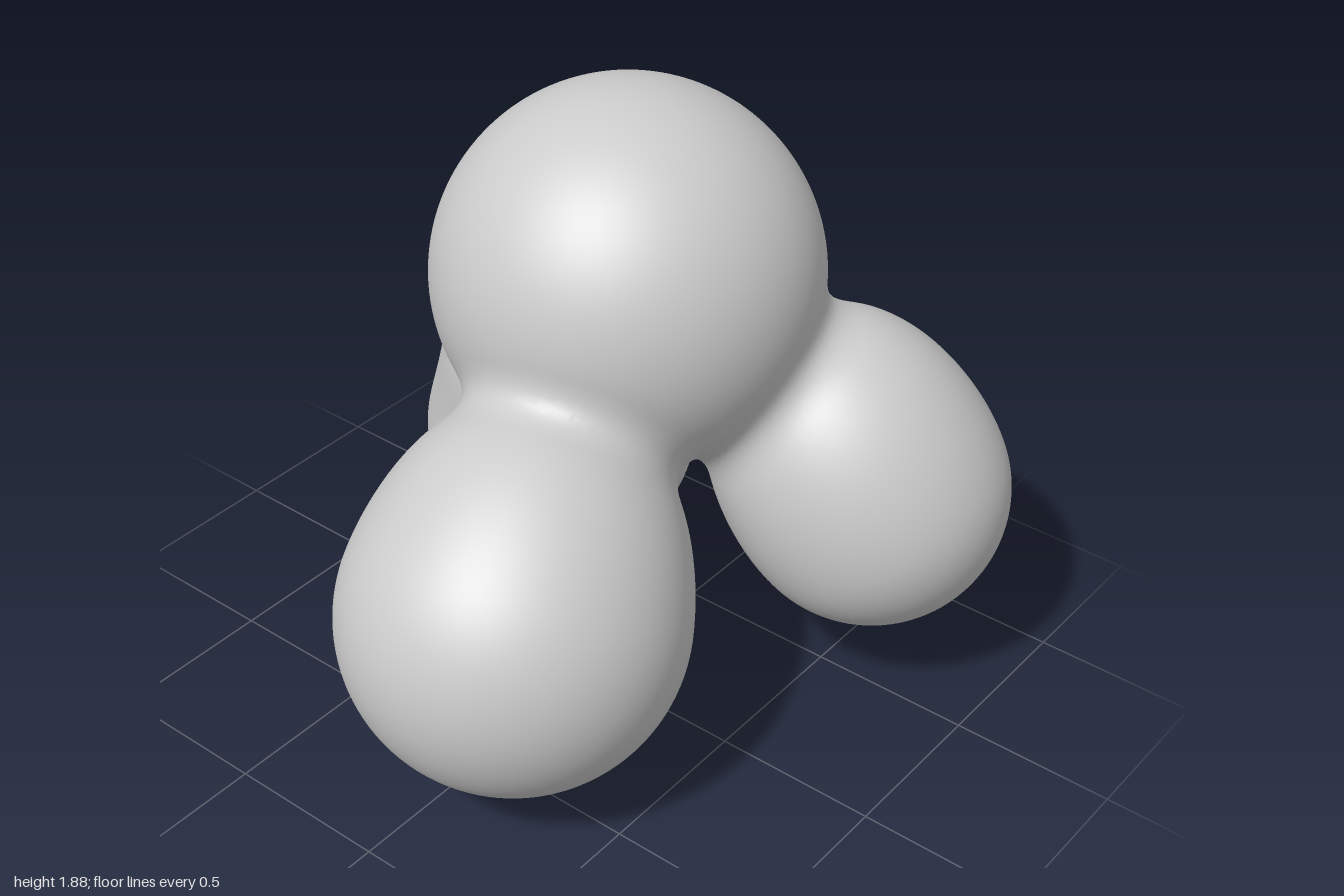
import * as THREE from 'three';

// Balls as [x, y, z, radius]
const core = [0.215, 1.315, -0.055, 0.565];
const lobes = [
  [[-0.5, 0.6, 0.12, 0.5], [-0.36, 0.78, 0.08, 0.405]],       // right lobe
  [[0.585, 0.645, 0.575, 0.412], [0.54, 0.82, 0.465, 0.38]],  // front left lobe
  [[0.505, 0.437, -0.55, 0.435], [0.455, 0.75, -0.45, 0.415]], // back left lobe
];

const ball = (x, y, z, b) => Math.hypot(x - b[0], y - b[1], z - b[2]) - b[3];

// Rounded union of two distances
function blend(a, b, k) {
  const h = Math.max(k - Math.abs(a - b), 0);
  return Math.min(a, b) - h * h / (4 * k);
}

function field(x, y, z) {
  let d = ball(x, y, z, core);
  for (const [foot, shoulder] of lobes) {
    const lobe = blend(ball(x, y, z, foot), ball(x, y, z, shoulder), 0.12);
    d = blend(d, lobe, 0.12);
  }
  return d;
}

function gradient(p) {
  const e = 0.002;
  return new THREE.Vector3(
    field(p.x + e, p.y, p.z) - field(p.x - e, p.y, p.z),
    field(p.x, p.y + e, p.z) - field(p.x, p.y - e, p.z),
    field(p.x, p.y, p.z + e) - field(p.x, p.y, p.z - e),
  ).divideScalar(2 * e);
}

// Skin over the field: one vertex per crossed cell, one quad per crossed edge
function skin(cell) {
  const n = Math.ceil(2.2 / cell);
  const origin = [-1.1, -0.1, -1.1];
  const step = [1, n, n * n];
  const at = (i, axis) => origin[axis] + i * cell;
  const values = new Float32Array(n * n * n);
  for (let k = 0; k < n; k++) for (let j = 0; j < n; j++) for (let i = 0; i < n; i++) {
    values[i + j * n + k * n * n] = field(at(i, 0), at(j, 1), at(k, 2));
  }

  const ids = new Int32Array(n * n * n).fill(-1);
  const positions = [], normals = [], index = [];
  for (let k = 0; k < n - 1; k++) for (let j = 0; j < n - 1; j++) for (let i = 0; i < n - 1; i++) {
    const c = i + j * n + k * n * n;
    let inside = 0;
    for (let m = 0; m < 8; m++) {
      if (values[c + (m & 1) + ((m >> 1) & 1) * n + (m >> 2) * n * n] < 0) inside++;
    }
    if (inside === 0 || inside === 8) continue;
    // Pull the cell centre onto the surface
    const p = new THREE.Vector3(at(i + 0.5, 0), at(j + 0.5, 1), at(k + 0.5, 2));
    for (let s = 0; s < 4; s++) {
      const g = gradient(p);
      p.addScaledVector(g, -field(p.x, p.y, p.z) / Math.max(g.lengthSq(), 0.2));
    }
    ids[c] = positions.length / 3;
    positions.push(p.x, p.y, p.z);
    normals.push(...gradient(p).normalize().toArray());
  }

  for (let k = 1; k < n - 1; k++) for (let j = 1; j < n - 1; j++) for (let i = 1; i < n - 1; i++) {
    const c = i + j * n + k * n * n;
    for (let axis = 0; axis < 3; axis++) {
      const solid = values[c] < 0;
      if (solid === values[c + step[axis]] < 0) continue;
      const u = step[(axis + 1) % 3], v = step[(axis + 2) % 3];
      const q = [ids[c - u - v], ids[c - v], ids[c], ids[c - u]];
      if (!solid) q.reverse();
      index.push(q[0], q[1], q[2], q[0], q[2], q[3]);
    }
  }

  const geometry = new THREE.BufferGeometry();
  geometry.setAttribute('position', new THREE.Float32BufferAttribute(positions, 3));
  geometry.setAttribute('normal', new THREE.Float32BufferAttribute(normals, 3));
  geometry.setIndex(index);
  return geometry;
}

export function createModel() {
  const group = new THREE.Group();
  group.name = 'blendedBalls';
  const body = new THREE.Mesh(skin(0.025), new THREE.MeshStandardMaterial({ color: 0xcccccc }));
  body.name = 'body';
  group.add(body);
  return group;
}
